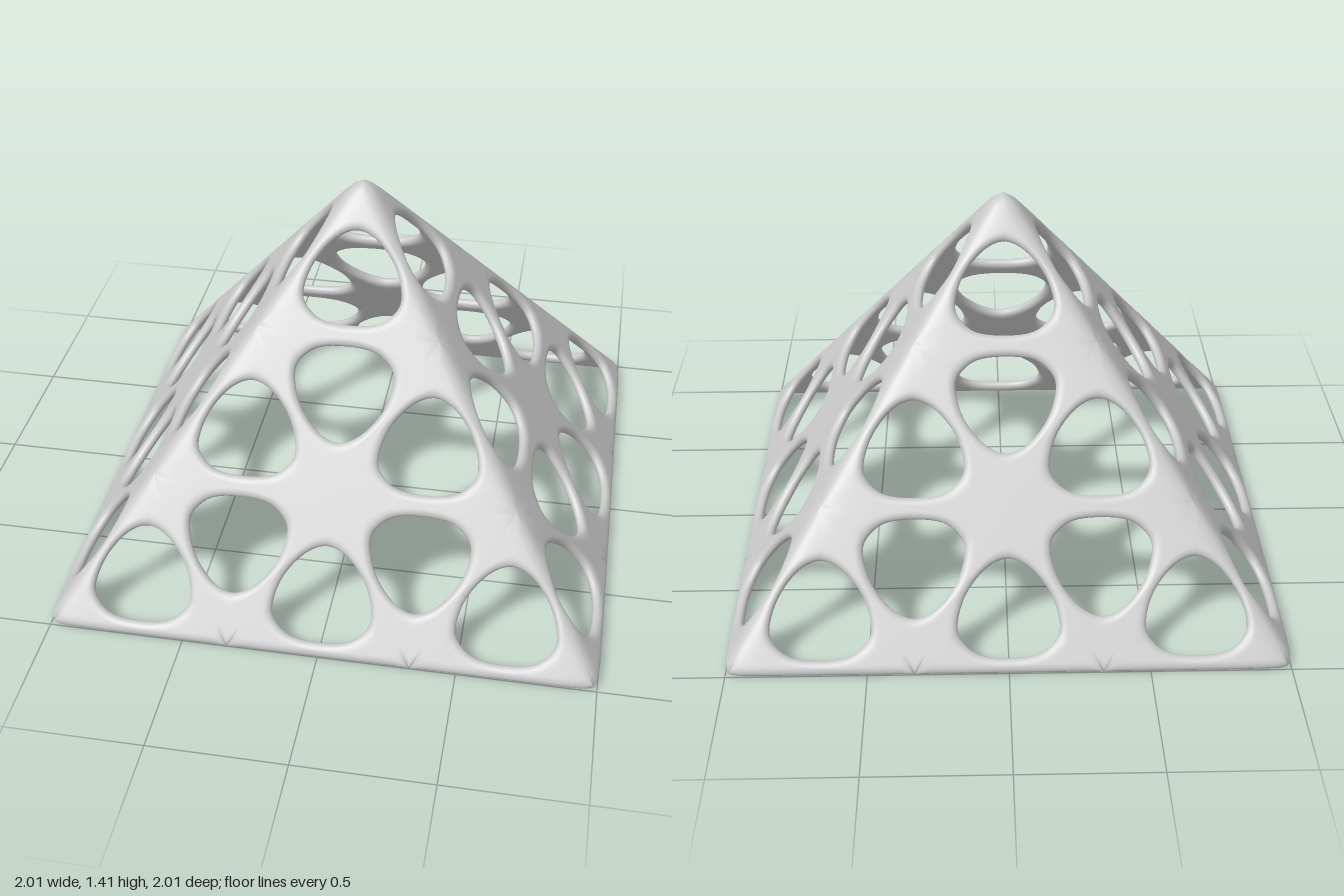
import * as THREE from 'three';
import { mergeVertices } from 'three/addons/utils/BufferGeometryUtils.js';

const H = 1.42;            // height of the sharp pyramid (half width 1)
const ROWS = 3;            // rows of triangular cells per face
const CELL_H = H / ROWS;
const T = 0.02;            // half thickness of the shell
const RIM = 0.028;         // width of the rounded rims
const RIDGE = 0.03;        // softness of the ridges
const TIP = 0.012;         // softness of the apex
const SLANT = Math.hypot(1, 1 / H); // slope length per unit of height
const SIDE = 16, RINGS = 14;

// Rounded-triangle hole of an upright cell, four points per cell side
const right = [[0.168, 0.085], [0.18, 0.135], [0.15, 0.215], [0.08, 0.287]];
const holePoints = [
  [-0.168, 0.085], [-0.105, 0.042], [0, 0.031], [0.105, 0.042],
  ...right, [0, 0.316],
  ...right.slice(1).reverse().map(([x, y]) => [-x, y]),
];
const hole = new THREE.CatmullRomCurve3(
  holePoints.map(([x, y]) => new THREE.Vector3(x, y, 0)), true, 'catmullrom', 0.5);

const corners = [[-1 / ROWS, 0], [1 / ROWS, 0], [0, CELL_H]];

// Point on the cell border, u in 0..1 around the three sides
function border(u) {
  const k = Math.min(2, Math.floor(u * 3 + 1e-9)), f = u * 3 - k;
  const a = corners[k], b = corners[(k + 1) % 3];
  return [a[0] + (b[0] - a[0]) * f, a[1] + (b[1] - a[1]) * f];
}

// Place a flat face point on the softly rounded pyramid, offset along its normal
function place(x, y, offset) {
  const z = 1 - y / H, m = Math.max(Math.abs(x), Math.abs(z));
  const a = Math.hypot(x, TIP), b = Math.hypot(z, TIP);
  const q = Math.hypot(a - b, RIDGE), k = (a - b) / q;
  const drop = (a + b + q) / 2 - m;
  const n = new THREE.Vector3(H * (1 + k) / 2 * x / a, 1, H * (1 - k) / 2 * z / b).normalize();
  // Near the apex the rounding lowers the surface, elsewhere it pulls it inwards
  const w = THREE.MathUtils.smoothstep(m, 0.1, 0.3);
  const s = m > 0.05 ? 1 - drop * w / m : 1;
  return new THREE.Vector3(x * s, y - H * drop * (1 - w), z * s).addScaledVector(n, offset);
}

// Rounded thickness at a distance from the nearest rim
function thickness(d) {
  const f = 1 - Math.min(1, Math.max(0, d) / RIM);
  return T * Math.sqrt(Math.max(0, 1 - f * f));
}

// One pierced cell: rings from the hole out to the cell border, both sides of the shell
function addCell(cx, baseY, flip, turn, positions, indices) {
  const n = SIDE * 3, row = n, start = positions.length / 3;
  const count = n * (RINGS + 1);
  const lift = baseY < 0.01 ? 0.01 : 0;
  const axis = new THREE.Vector3(0, 1, 0);
  for (const sign of [1, -1]) {
    for (let j = 0; j <= RINGS; j++) {
      const s = (1 - Math.cos(Math.PI * j / RINGS)) / 2;
      for (let i = 0; i < n; i++) {
        const p = hole.getPoint(i / n), [bx, by] = border(i / n);
        const hy = p.y + lift;
        const x = cx + flip * (p.x + (bx - p.x) * s);
        const y = baseY + flip * (hy + (by - hy) * s);
        const toHole = j === RINGS ? 1 : s * Math.hypot(bx - p.x, (by - hy) * SLANT);
        const h = thickness(Math.min(toHole, y * SLANT));
        const v = place(x, y, sign * h).applyAxisAngle(axis, turn);
        positions.push(v.x, v.y, v.z);
      }
    }
    const o = start + (sign === 1 ? 0 : count);
    for (let j = 0; j < RINGS; j++) {
      for (let i = 0; i < n; i++) {
        const i2 = (i + 1) % n;
        const a = o + j * row + i, b = a + row;
        const d = o + j * row + i2, c = d + row;
        if (sign === 1) indices.push(a, b, c, a, c, d);
        else indices.push(a, c, b, a, d, c);
      }
    }
  }
}

export function createModel() {
  const positions = [], indices = [];
  for (let f = 0; f < 4; f++) {
    const turn = f * Math.PI / 2;
    for (let r = 0; r < ROWS; r++) {
      const ups = ROWS - r;
      // Upright cells
      for (let i = 0; i < ups; i++)
        addCell((2 * i - ups + 1) / ROWS, r * CELL_H, 1, turn, positions, indices);
      // Inverted cells between them
      for (let i = 0; i < ups - 1; i++)
        addCell((2 * i - ups + 2) / ROWS, (r + 1) * CELL_H, -1, turn, positions, indices);
    }
  }
  let geometry = new THREE.BufferGeometry();
  geometry.setAttribute('position', new THREE.Float32BufferAttribute(positions, 3));
  geometry.setIndex(indices);
  geometry = mergeVertices(geometry, 1e-4);
  geometry.computeVertexNormals();

  const shell = new THREE.Mesh(geometry, new THREE.MeshStandardMaterial({ color: 0xcccccc }));
  shell.name = 'piercedPyramidShell';
  const group = new THREE.Group();
  group.name = 'latticePyramid';
  group.add(shell);
  return group;
}
